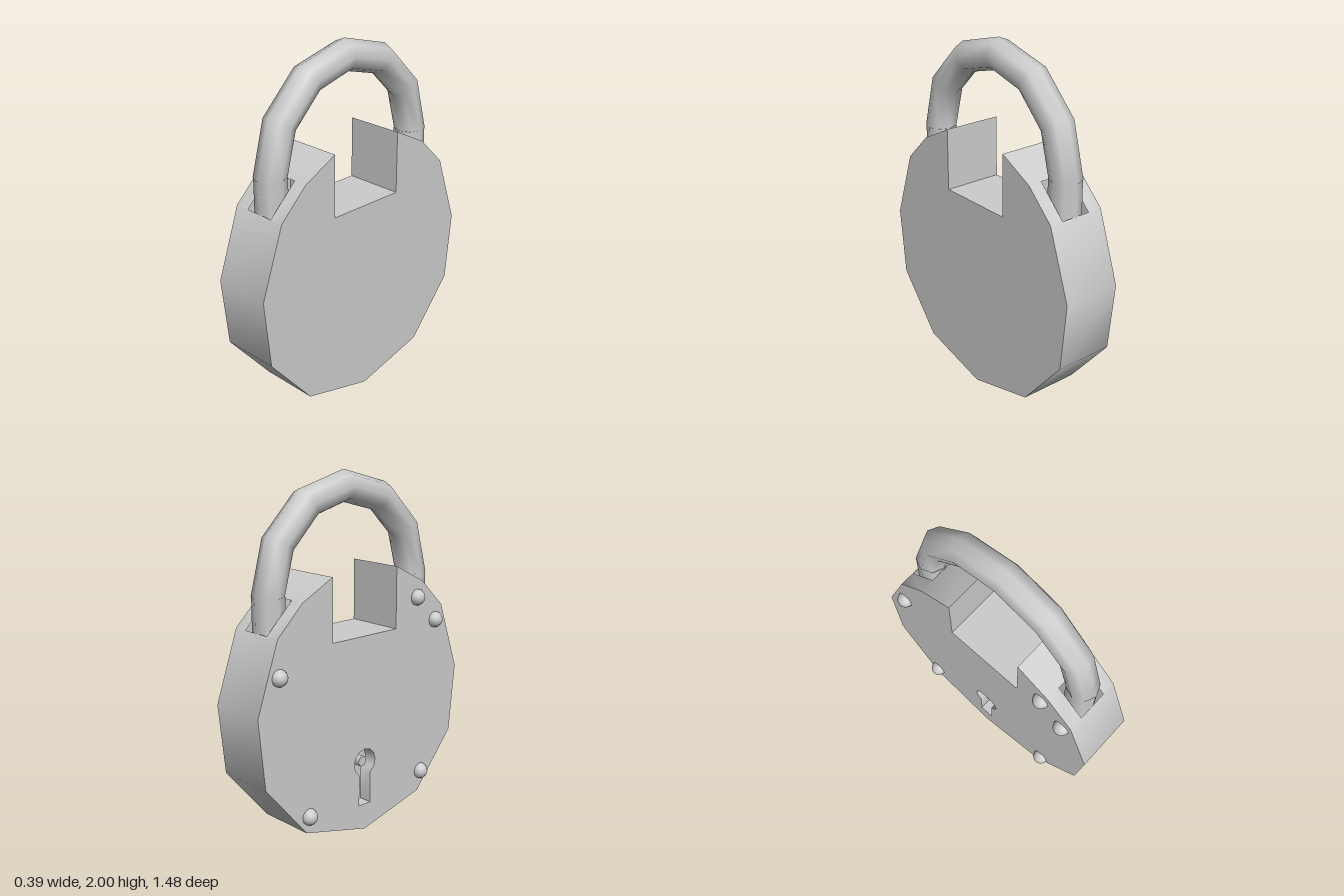
import * as THREE from 'three';
import { mergeGeometries, toCreasedNormals } from 'three/addons/utils/BufferGeometryUtils.js';

const material = new THREE.MeshStandardMaterial({ color: 0xcccccc, side: THREE.DoubleSide });
const X0 = -0.15, X1 = 0.19;            // the two flat faces of the case
const SLOT0 = -0.065, SLOT1 = 0.11;     // width of the shackle slots
const MID = 0.022;                      // plane of the shackle

function add(parent, name, geometry, x = 0, y = 0, z = 0) {
  const mesh = new THREE.Mesh(geometry, material);
  mesh.name = name;
  mesh.position.set(x, y, z);
  parent.add(mesh);
  return mesh;
}

// Wall that follows [z, y] points and spans xa..xb
function band(points, xa, xb) {
  const pos = [];
  for (let i = 0; i + 1 < points.length; i++) {
    const [az, ay] = points[i], [bz, by] = points[i + 1];
    pos.push(xa, ay, az, xb, ay, az, xb, by, bz, xa, ay, az, xb, by, bz, xa, by, bz);
  }
  const g = new THREE.BufferGeometry();
  g.setAttribute('position', new THREE.Float32BufferAttribute(pos, 3));
  return g;
}

const toShape = (points) => new THREE.Shape(points.map(([z, y]) => new THREE.Vector2(z, y)));

export function createModel() {
  const model = new THREE.Group();
  model.name = 'padlock';

  // Case outline, from the bottom tip up one side to the notch, then mirrored
  const half = [[0, 0], [0.43, 0.11], [0.7, 0.43], [0.74, 0.82], [0.605, 1.21],
    [0.44, 1.37], [0.235, 1.475], [0.235, 1.125]];
  const mirrored = half.slice(1).reverse().map(([z, y]) => [-z, y]);
  const outline = [...half, ...mirrored];

  // Keyhole outline: round top with a straight slot below
  const keyhole = [[-0.042, 0.15]];
  const gap = Math.asin(0.042 / 0.08);
  for (let i = 0; i <= 10; i++) {
    const a = gap + (i / 10) * (2 * Math.PI - 2 * gap);
    keyhole.push([-0.08 * Math.sin(a), 0.4 - 0.08 * Math.cos(a)]);
  }
  keyhole.push([0.042, 0.15]);

  // Flat faces of the hollow case
  const body = new THREE.Group();
  body.name = 'case';
  model.add(body);
  add(body, 'plainFace', new THREE.ShapeGeometry(toShape(outline)).rotateY(Math.PI / 2), X1);
  const faceShape = toShape(outline);
  faceShape.holes.push(toShape(keyhole));
  add(body, 'keyholeFace', new THREE.ShapeGeometry(faceShape).rotateY(-Math.PI / 2), X0);

  // Rim, with the shackle slots left open in the sloping shoulders
  const closed = [...outline, outline[0]];
  const rim = [];
  for (let i = 0; i + 1 < closed.length; i++) {
    const edge = [closed[i], closed[i + 1]];
    const slotted = edge.every(([, y]) => y > 1.2 && y < 1.4);
    if (slotted) rim.push(band(edge, X0, SLOT0), band(edge, SLOT1, X1));
    else rim.push(band(edge, X0, X1));
  }
  add(body, 'rim', toCreasedNormals(mergeGeometries(rim), 0.8));

  // Keyhole lining and the pin inside it
  add(body, 'keyholeLining', toCreasedNormals(band([...keyhole, keyhole[0]], X0, X0 + 0.08), 0.8));
  add(body, 'keyPin', new THREE.CylinderGeometry(0.03, 0.03, 0.31, 6).rotateZ(Math.PI / 2), 0.025, 0.4, 0);

  // Shackle: half ring on two legs
  const shackle = new THREE.Group();
  shackle.name = 'shackle';
  model.add(shackle);
  add(shackle, 'bow', new THREE.TorusGeometry(0.525, 0.087, 8, 6, Math.PI).rotateY(Math.PI / 2), MID, 1.388, 0);
  for (const side of [-1, 1]) {
    add(shackle, 'leg', new THREE.CylinderGeometry(0.087, 0.087, 0.388, 8), MID, 1.194, side * 0.522);
  }

  // Rivets on the keyhole face
  for (const [y, z] of [[1.28, 0.4], [1.13, 0.55], [1.01, -0.6], [0.23, 0.45], [0.2, -0.41]]) {
    const dome = new THREE.SphereGeometry(0.047, 12, 5, 0, Math.PI * 2, 0, Math.PI / 2);
    add(model, 'rivet', dome.rotateZ(Math.PI / 2), X0, y, z);
  }

  return model;
}
